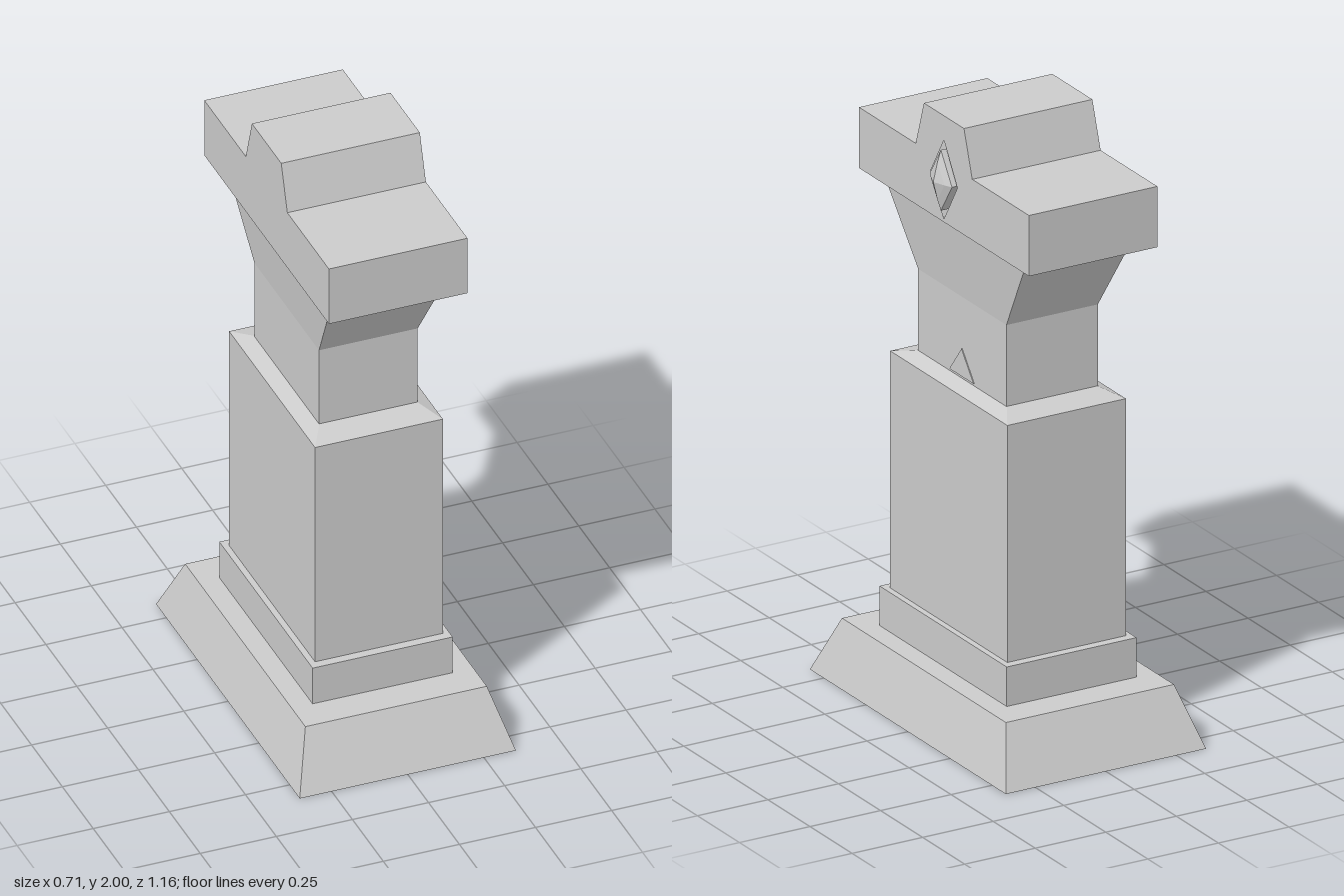
import * as THREE from 'three';

const material = new THREE.MeshStandardMaterial({ color: 0xcccccc, flatShading: true });

// Rectangular block whose half sizes change from bottom to top
function taperedBlock(name, y0, hx0, hz0, y1, hx1 = hx0, hz1 = hz0) {
  const geometry = new THREE.BoxGeometry(2, 1, 2);
  const p = geometry.attributes.position;
  for (let i = 0; i < p.count; i++) {
    const top = p.getY(i) > 0;
    p.setXYZ(i, p.getX(i) * (top ? hx1 : hx0), top ? y1 : y0, p.getZ(i) * (top ? hz1 : hz0));
  }
  geometry.computeVertexNormals();
  const mesh = new THREE.Mesh(geometry, material);
  mesh.name = name;
  return mesh;
}

// Outline given as [z, y], extruded along x between x0 and x1
function sidePanel(name, outline, x0, x1, hole) {
  const toPoints = (list) => list.map(([z, y]) => new THREE.Vector2(-z, y));
  const shape = new THREE.Shape(toPoints(outline));
  if (hole) shape.holes.push(new THREE.Path(toPoints(hole)));
  const geometry = new THREE.ExtrudeGeometry(shape, { depth: x1 - x0, bevelEnabled: false });
  geometry.rotateY(Math.PI / 2).translate(x0, 0, 0);
  const mesh = new THREE.Mesh(geometry, material);
  mesh.name = name;
  return mesh;
}

export function createModel() {
  const model = new THREE.Group();
  model.name = 'pedestal';

  // Stacked plinth, shaft and neck
  model.add(
    taperedBlock('base', 0, 0.355, 0.582, 0.19, 0.298, 0.487),
    taperedBlock('plinthStep', 0.19, 0.23, 0.378, 0.32),
    taperedBlock('shaft', 0.32, 0.21, 0.348, 1.1),
    taperedBlock('shoulder', 1.1, 0.21, 0.348, 1.122, 0.162, 0.265),
    taperedBlock('neck', 1.12, 0.162, 0.262, 1.39),
    taperedBlock('flare', 1.39, 0.162, 0.262, 1.65, 0.188, 0.422),
  );

  // Crenellated cap with a shallow diamond recess on its left face
  const half = [[0.505, 1.65], [0.505, 1.85], [0.168, 1.85], [0.119, 2]];
  const outline = [...half, ...half.map(([z, y]) => [-z, y]).reverse()];
  const diamond = [[0.08, 1.79], [0, 1.92], [-0.08, 1.79], [0, 1.66]];
  model.add(
    sidePanel('capCore', outline, -0.228, 0.205),
    sidePanel('capFace', outline, 0.205, 0.227, diamond),
  );

  // Faceted gem set in the recess
  const profile = [[1, 0], [1, 0.035], [0.62, 0.047], [0, 0.062]];
  const gemGeometry = new THREE.LatheGeometry(profile.map(([r, h]) => new THREE.Vector2(r, h)), 4);
  gemGeometry.scale(0.1, 1, 0.066).rotateZ(-Math.PI / 2);
  const gem = new THREE.Mesh(gemGeometry, material);
  gem.name = 'gem';
  gem.position.set(0.203, 1.79, 0);
  model.add(gem);

  // Thin triangular plate on the neck below the gem
  model.add(sidePanel('neckTriangle', [[0.072, 1.13], [0, 1.22], [-0.072, 1.13]], 0.155, 0.165));

  return model;
}
